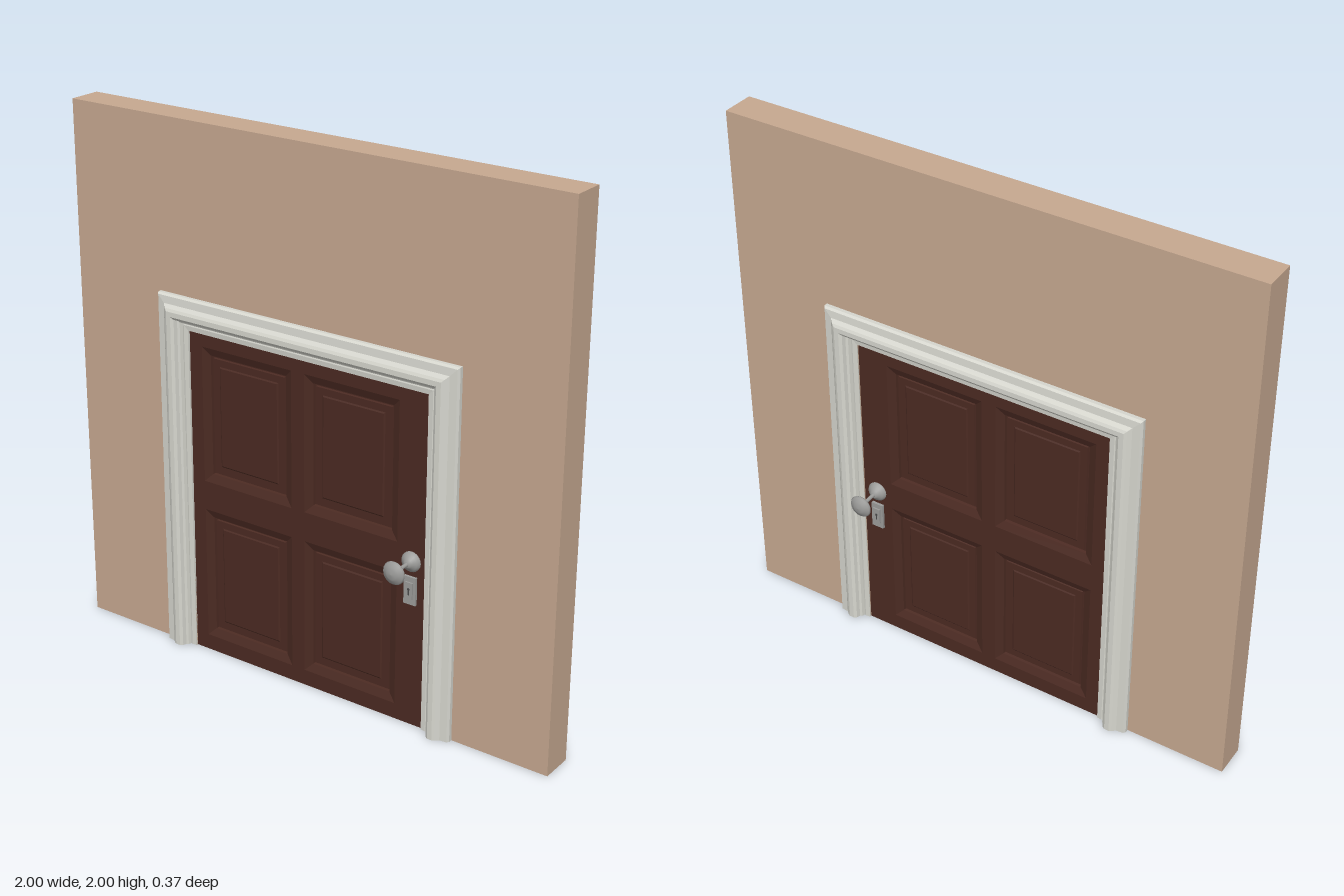
import * as THREE from 'three';

const mat = (name, color) => {
  const m = new THREE.MeshStandardMaterial({ color });
  m.name = name;
  return m;
};

// Surface through rows of points, faceted
function strip(rows) {
  const out = [];
  const tri = (...p) => {
    if (new THREE.Triangle(...p).getArea() > 1e-9) p.forEach(v => out.push(v.x, v.y, v.z));
  };
  for (let i = 0; i < rows.length - 1; i++) {
    for (let j = 0; j < rows[i].length - 1; j++) {
      const a = rows[i][j], b = rows[i][j + 1], c = rows[i + 1][j + 1], d = rows[i + 1][j];
      tri(a, b, c);
      tri(a, c, d);
    }
  }
  const g = new THREE.BufferGeometry();
  g.setAttribute('position', new THREE.Float32BufferAttribute(out, 3));
  g.computeVertexNormals();
  return g;
}

const rectPoints = (x0, y0, x1, y1) => [[x0, y0], [x1, y0], [x1, y1], [x0, y1]].map(p => new THREE.Vector2(...p));

export function createModel() {
  const wallMat = mat('wall plaster', 0xc6a890);
  const trimMat = mat('trim paint', 0xd6d6ce);
  const doorMat = mat('door wood', 0x4b2a22);
  const metalMat = mat('brushed metal', 0x9c9c9a);
  const darkMat = mat('keyhole dark', 0x4a4a4a);

  const W = 0.5, H = 1.25, WALL = 0.062, FACE = 0.058, CORE = 0.03;
  const model = new THREE.Group();
  model.name = 'doorInWall';

  const add = (parent, name, geometry, material, x = 0, y = 0, z = 0) => {
    const m = new THREE.Mesh(geometry, material);
    m.name = name;
    m.position.set(x, y, z);
    parent.add(m);
    return m;
  };

  // Wall with the doorway notch
  const wall = new THREE.Shape([[-1, 0], [-W, 0], [-W, H], [W, H], [W, 0], [1, 0], [1, 2], [-1, 2]]
    .map(p => new THREE.Vector2(...p)));
  add(model, 'wall', new THREE.ExtrudeGeometry(wall, { depth: WALL * 2, bevelEnabled: false }), wallMat, 0, 0, -WALL);

  // Door core between the two panelled faces
  add(model, 'doorCore', new THREE.BoxGeometry(W * 2, H, CORE * 2), doorMat, 0, H / 2, 0);

  // Casing profile: distance out from the opening, depth
  const casing = [[0, 0.055], [0, 0.066], [0.018, 0.068], [0.024, 0.066], [0.028, 0.078], [0.036, 0.082],
    [0.04, 0.096], [0.05, 0.103], [0.068, 0.103], [0.078, 0.098], [0.09, 0.087], [0.117, 0.084],
    [0.123, 0.076], [0.123, 0.055]];
  const casingGeo = strip(casing.map(([d, z]) => [[-1, 0], [-1, 1], [1, 1], [1, 0]]
    .map(([sx, top]) => new THREE.Vector3(sx * (W + d), top * (H + d), z))));

  // Panel steps: inset from the edge, depth
  const steps = [[0, FACE], [0.03, 0.046], [0.032, 0.036], [0.038, 0.036], [0.04, 0.042], [0.066, 0.042], [0.071, 0.045]];

  // Knob, stem and rose turned around the door normal
  const turned = pts => new THREE.LatheGeometry(pts.map(p => new THREE.Vector2(...p)), 20).rotateX(Math.PI / 2);
  const roseGeo = turned([[0.037, 0.056], [0.037, 0.064], [0.03, 0.074], [0.018, 0.082], [0.011, 0.09], [0, 0.09]]);
  const stemGeo = turned([[0.007, 0.08], [0.007, 0.15]]);
  const knobGeo = turned([[0, 0.145], [0.016, 0.147], [0.026, 0.154], [0.039, 0.158], [0.043, 0.164],
    [0.039, 0.17], [0.026, 0.176], [0.018, 0.181], [0, 0.183]]);

  // Both faces share the same layout, with x mirrored on the back
  for (const s of [1, -1]) {
    const side = new THREE.Group();
    side.name = s > 0 ? 'frontSide' : 'backSide';
    if (s < 0) side.rotation.y = Math.PI;
    model.add(side);

    add(side, 'doorCasing', casingGeo, trimMat);
    for (const e of [1, -1]) {
      const foot = new THREE.Shape(casing.map(([d, z]) => new THREE.Vector2(e * (W + d), z)));
      add(side, 'casingFoot', new THREE.ShapeGeometry(foot).rotateX(Math.PI / 2), trimMat);
    }

    // Stiles and rails with four panel openings
    const frame = new THREE.Shape(rectPoints(-W, 0, W, H));
    for (const cx of [-0.253, 0.19]) {
      for (const cy of [0.317, 0.943]) {
        const hw = 0.194, hh = 0.257, x = s * cx;
        frame.holes.push(new THREE.Path(rectPoints(x - hw, cy - hh, x + hw, cy + hh)));
        const ring = (w, h, z) => [[-1, -1], [1, -1], [1, 1], [-1, 1], [-1, -1]]
          .map(([a, b]) => new THREE.Vector3(a * w, b * h, z));
        const rows = steps.map(([i, z]) => ring(hw - i, hh - i, z));
        rows.push(ring(0, 0, 0.045));
        add(side, 'doorPanel', strip(rows), doorMat, x, cy, 0);
      }
    }
    add(side, 'stilesAndRails', new THREE.ExtrudeGeometry(frame, { depth: FACE - CORE, bevelEnabled: false }), doorMat, 0, 0, CORE);

    // Knob set
    const handle = new THREE.Group();
    handle.name = 'knobSet';
    handle.position.set(s * 0.443, 0.63, 0);
    side.add(handle);
    add(handle, 'rose', roseGeo, metalMat);
    add(handle, 'stem', stemGeo, metalMat);
    add(handle, 'knob', knobGeo, metalMat);

    // Keyhole plate with a raised cover
    const plate = new THREE.Group();
    plate.name = 'keyholePlate';
    plate.position.set(s * 0.443, 0.523, FACE);
    side.add(plate);
    add(plate, 'backPlate', new THREE.BoxGeometry(0.048, 0.104, 0.012), metalMat, 0, 0, 0.004);
    add(plate, 'cover', new THREE.BoxGeometry(0.028, 0.062, 0.008), metalMat, 0, 0.002, 0.012);
    add(plate, 'keyholeRound', new THREE.CircleGeometry(0.005, 12), darkMat, 0, 0.008, 0.0165);
    add(plate, 'keyholeSlot', new THREE.PlaneGeometry(0.005, 0.02), darkMat, 0, -0.004, 0.0168);
  }
  return model;
}
